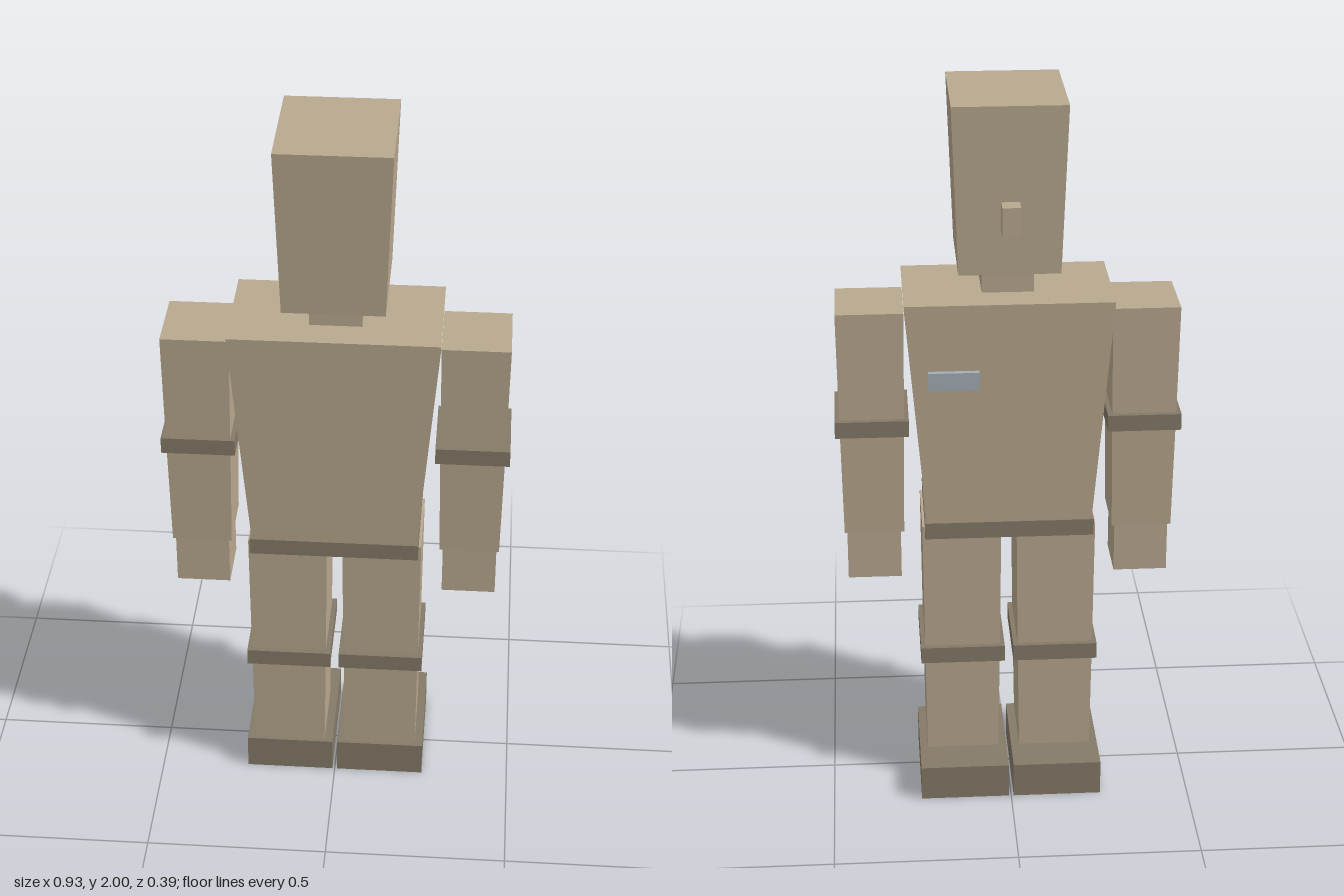
import * as THREE from 'three';

const skin = new THREE.MeshStandardMaterial({ color: 0xb9a88f, flatShading: true });
const trim = new THREE.MeshStandardMaterial({ color: 0x857a68, flatShading: true });
const metal = new THREE.MeshStandardMaterial({ color: 0xa4adb5, flatShading: true });

// Box between heights y0 and y1; each end is a rectangle [x0, x1, z0, z1]
function block(name, material, y0, y1, bottom, top = bottom) {
  const geometry = new THREE.BoxGeometry(1, 1, 1);
  const p = geometry.attributes.position;
  for (let i = 0; i < p.count; i++) {
    const [x0, x1, z0, z1] = p.getY(i) > 0 ? top : bottom;
    p.setXYZ(i, p.getX(i) > 0 ? x1 : x0, p.getY(i) > 0 ? y1 : y0, p.getZ(i) > 0 ? z1 : z0);
  }
  geometry.computeVertexNormals();
  const mesh = new THREE.Mesh(geometry, material);
  mesh.name = name;
  return mesh;
}

// Rectangle on the given side of the body: +1 left, -1 right
const onSide = (s, [x0, x1, z0, z1]) => (s > 0 ? [x0, x1, z0, z1] : [-x1, -x0, z0, z1]);

function createArm(s) {
  const arm = new THREE.Group();
  arm.name = s > 0 ? 'leftArm' : 'rightArm';
  arm.add(
    block('upperArm', skin, 1.097, 1.424, onSide(s, [0.281, 0.454, -0.067, 0.123]), onSide(s, [0.277, 0.458, -0.073, 0.129])),
    block('forearm', skin, 0.78, 1.097, onSide(s, [0.286, 0.449, -0.06, 0.116]), onSide(s, [0.281, 0.454, -0.067, 0.123])),
    block('elbowBand', trim, 1.074, 1.12, onSide(s, [0.268, 0.467, -0.083, 0.135])),
    block('hand', skin, 0.636, 0.78, onSide(s, [0.295, 0.442, -0.047, 0.106])),
  );
  return arm;
}

function createLeg(s) {
  const leg = new THREE.Group();
  leg.name = s > 0 ? 'leftLeg' : 'rightLeg';
  leg.add(
    block('thigh', skin, 0.41, 0.806, onSide(s, [0.025, 0.234, -0.085, 0.142]), onSide(s, [0.021, 0.237, -0.09, 0.147])),
    block('shin', skin, 0.1, 0.41, onSide(s, [0.03, 0.231, -0.08, 0.137]), onSide(s, [0.025, 0.234, -0.085, 0.142])),
    block('kneeBand', trim, 0.386, 0.433, onSide(s, [0.012, 0.246, -0.1, 0.159])),
    block('shoe', trim, 0, 0.1, onSide(s, [0.007, 0.253, -0.193, 0.147])),
  );
  return leg;
}

export function createModel() {
  const model = new THREE.Group();
  model.name = 'blockFigure';

  // Head, neck and trunk
  model.add(
    block('head', skin, 1.546, 2, [-0.134, 0.134, -0.125, 0.179], [-0.15, 0.15, -0.142, 0.196]),
    block('neck', skin, 1.463, 1.546, [-0.069, 0.069, -0.038, 0.096]),
    block('torso', skin, 0.806, 1.465, [-0.222, 0.222, -0.115, 0.172], [-0.278, 0.278, -0.132, 0.185]),
    block('belt', trim, 0.783, 0.83, [-0.23, 0.23, -0.119, 0.175]),
  );

  // Small parts on the face and chest
  model.add(
    block('nose', skin, 1.673, 1.75, [-0.024, 0.024, -0.196, -0.147]),
    block('chestBadge', metal, 1.233, 1.283, [0.081, 0.217, -0.15, -0.135]),
  );

  // Mirrored limbs
  for (const s of [1, -1]) model.add(createArm(s), createLeg(s));

  return model;
}
